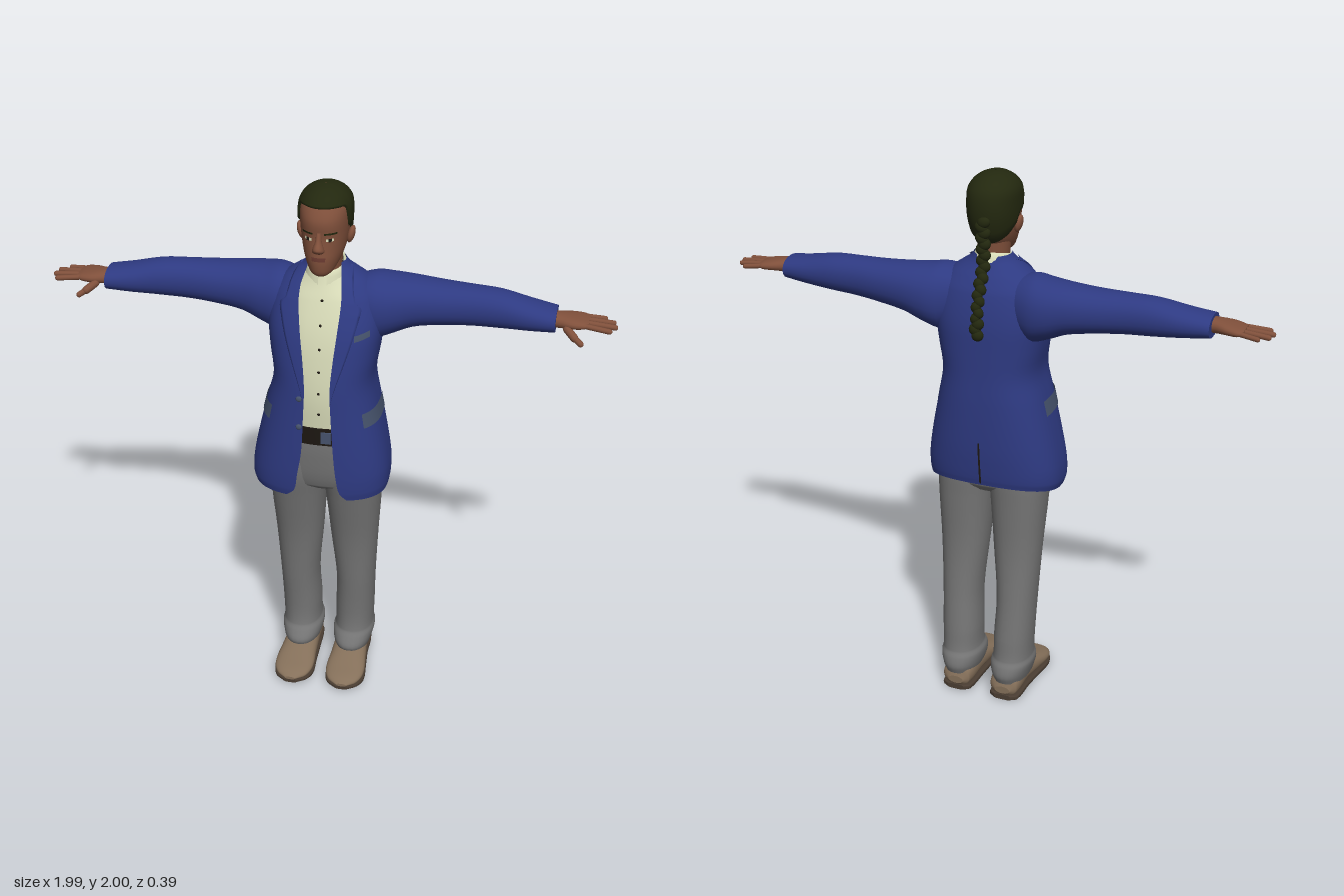
import * as THREE from 'three';

const mat = (name, color, side = THREE.FrontSide) => Object.assign(new THREE.MeshStandardMaterial({ color, side }), { name });

// Smooth interpolation of a table whose first column is the key
function at(T, k) {
  let i = 0;
  while (i < T.length - 2 && k > T[i + 1][0]) i++;
  const a = T[i], b = T[i + 1], p = T[i - 1] || a, q = T[i + 2] || b;
  const h = b[0] - a[0], t = (k - a[0]) / h, t2 = t * t, t3 = t2 * t;
  return a.map((v, c) => {
    const m0 = (b[c] - p[c]) / (b[0] - p[0]) * h, m1 = (q[c] - v) / (q[0] - a[0]) * h;
    return (2 * t3 - 3 * t2 + 1) * v + (t3 - 2 * t2 + t) * m0 + (3 * t2 - 2 * t3) * b[c] + (t3 - t2) * m1;
  });
}
function keys(T, sub) {
  const out = [];
  for (let i = 0; i < T.length - 1; i++)
    for (let j = 0; j < sub; j++) out.push(T[i][0] + (T[i + 1][0] - T[i][0]) * j / sub);
  return [...out, T[T.length - 1][0]];
}

// Point on a rounded section [key, u0, u1, v0, v1, power]; angle 0 is the +v side
function pt(r, a, g = 0) {
  const f = c => Math.sign(c) * Math.abs(c) ** (2 / r[5]);
  return [(r[1] + r[2]) / 2 + ((r[2] - r[1]) / 2 + g) * f(Math.sin(a)), (r[3] + r[4]) / 2 + ((r[4] - r[3]) / 2 + g) * f(Math.cos(a))];
}
// Angle at which the front of a section reaches x
function angleAt(r, x) {
  const d = (x - (r[1] + r[2]) / 2) / ((r[2] - r[1]) / 2);
  return Math.sign(d) * Math.asin(Math.min(1, Math.abs(d) ** (r[5] / 2)));
}

// Grid surface from rings of points, optionally wrapped and capped
function surface(rings, wrap = false, caps = false) {
  const n = rings[0].length, P = rings.flat(), idx = [];
  for (let i = 0; i < rings.length - 1; i++)
    for (let j = 0; j < (wrap ? n : n - 1); j++) {
      const a = i * n + j, b = i * n + (j + 1) % n;
      idx.push(a, b, a + n, b, b + n, a + n);
    }
  if (caps) [rings[0], rings[rings.length - 1]].forEach((ring, e) => {
    const s = P.length;
    P.push(...ring, [0, 1, 2].map(c => ring.reduce((t, p) => t + p[c], 0) / n));
    for (let j = 0; j < n; j++) {
      const k = (j + 1) % n;
      idx.push(...(e ? [s + j, s + k, s + n] : [s + k, s + j, s + n]));
    }
  });
  if (caps) {
    // turn the faces outward
    let vol = 0;
    const A = new THREE.Vector3(), B = new THREE.Vector3(), C = new THREE.Vector3();
    for (let i = 0; i < idx.length; i += 3)
      vol += A.fromArray(P[idx[i]]).dot(B.fromArray(P[idx[i + 1]]).cross(C.fromArray(P[idx[i + 2]])));
    if (vol < 0) idx.reverse();
  }
  const g = new THREE.BufferGeometry();
  g.setAttribute('position', new THREE.Float32BufferAttribute(P.flat(), 3));
  g.setIndex(idx);
  g.computeVertexNormals();
  return g;
}

const alongY = s => (k, u, v) => [s * u, k, v];
const alongX = s => (k, u, v) => [s * k, v, u];
const alongZ = s => (k, u, v) => [s * u, v, k];
const span = (n, f) => Array.from({ length: n + 1 }, (_, i) => f(i / n));

// Section tables: [key, u0, u1, v0, v1, power]
const HEAD = [
  [1.703, -.022, .022, .055, .1, 2], [1.715, -.038, .038, .01, .115, 2.1], [1.74, -.054, .054, -.05, .122, 2.1],
  [1.77, -.066, .066, -.085, .124, 2.1], [1.80, -.074, .074, -.102, .121, 2.1], [1.85, -.081, .081, -.115, .117, 2.2],
  [1.90, -.083, .083, -.117, .12, 2.2], [1.94, -.08, .08, -.108, .104, 2.1], [1.965, -.064, .064, -.085, .083, 2],
  [1.98, -.042, .042, -.055, .055, 2], [1.988, -.02, .02, -.028, .028, 2], [1.99, -.002, .002, -.003, .003, 2]];
// the jacket adds the right and left opening edges
const JACKET = [
  [.855, -.252, .232, -.165, .17, 2.6, -.11, .11], [.885, -.26, .237, -.17, .175, 2.6, -.08, .085],
  [.95, -.257, .237, -.175, .178, 2.6, -.068, .072], [1.05, -.238, .222, -.18, .177, 2.6, -.052, .062],
  [1.2, -.203, .192, -.18, .172, 2.6, -.045, .052], [1.3, -.18, .176, -.176, .168, 2.6, -.042, .048],
  [1.4, -.192, .19, -.174, .155, 2.6, -.05, .055], [1.5, -.2, .2, -.17, .135, 2.6, -.063, .065],
  [1.6, -.185, .185, -.15, .1, 2.4, -.075, .072], [1.65, -.152, .152, -.125, .076, 2.2, -.074, .068],
  [1.68, -.112, .112, -.105, .06, 2.1, -.066, .063], [1.70, -.082, .082, -.095, .05, 2, -.06, .06], [1.72, -.066, .066, -.087, .04, 2, -.056, .056]];
const SHIRT = [
  [1.1, -.15, .15, -.13, .134, 2.4], [1.25, -.15, .15, -.13, .145, 2.4], [1.4, -.16, .16, -.13, .134, 2.4],
  [1.5, -.16, .16, -.13, .116, 2.4], [1.6, -.14, .14, -.12, .085, 2.2], [1.65, -.1, .1, -.1, .065, 2], [1.685, -.065, .065, -.085, .053, 2]];
const NECK = [[1.62, -.052, .052, -.08, .04, 2], [1.7, -.053, .053, -.075, .046, 2], [1.77, -.058, .058, -.08, .06, 2]];
const NOSE = [[1.795, -.014, .014, .1, .126, 2], [1.805, -.021, .021, .1, .143, 2], [1.818, -.018, .018, .1, .15, 2], [1.84, -.011, .011, .1, .135, 2], [1.868, -.009, .009, .1, .122, 2]];
const PELVIS = [[.835, -.1, .1, -.1, .07, 2.2], [.87, -.19, .19, -.13, .108, 2.3], [1, -.185, .185, -.14, .128, 2.4], [1.09, -.165, .165, -.135, .13, 2.4]];
const BELT = [[1.06, -.166, .166, -.137, .137, 2.4], [1.13, -.163, .163, -.137, .142, 2.4]];
const LEG = [
  [.075, .035, .163, -.175, .05, 2.2], [.105, .026, .172, -.185, .062, 2.2], [.14, .022, .179, -.178, .045, 2.2],
  [.165, .03, .174, -.165, .03, 2.2], [.25, .031, .176, -.157, .027, 2.2], [.4, .035, .181, -.14, .04, 2.2],
  [.6, .016, .192, -.125, .06, 2.2], [.8, 0, .204, -.13, .098, 2.3], [.9, -.01, .205, -.135, .118, 2.3], [1, -.01, .19, -.13, .122, 2.3]];
const SLEEVE = [
  [.09, -.12, .05, 1.47, 1.65, 2.2], [.165, -.155, .06, 1.43, 1.667, 2.2], [.22, -.163, .05, 1.445, 1.662, 2.2],
  [.3, -.155, .03, 1.478, 1.655, 2.2], [.4, -.14, .02, 1.495, 1.648, 2.2], [.5, -.125, .015, 1.505, 1.645, 2.2],
  [.6, -.118, .02, 1.51, 1.64, 2.2], [.7, -.108, .03, 1.517, 1.62, 2.2], [.79, -.094, .036, 1.526, 1.605, 2.2]];
const HAND = [
  [.77, -.06, .01, 1.54, 1.594, 2.2], [.8, -.064, .014, 1.542, 1.592, 2.2], [.84, -.08, .024, 1.546, 1.587, 2.4],
  [.88, -.086, .019, 1.549, 1.58, 2.6], [.9, -.08, .01, 1.554, 1.574, 2.4]];
const SHOE = [
  [-.172, .065, .125, .03, .06, 2], [-.155, .042, .15, .014, .1, 2.3], [-.05, .034, .156, .014, .12, 2.3], [.04, .03, .166, .014, .095, 2.3],
  [.12, .026, .173, .016, .068, 2.3], [.17, .044, .155, .018, .052, 2.2], [.195, .08, .12, .024, .036, 2]];

export function createModel() {
  const model = new THREE.Group();
  const D = THREE.DoubleSide;
  const blue = mat('jacketBlue', 0x2e3a82, D), cream = mat('shirtCream', 0xd9dcb9, D), grey = mat('trouserGrey', 0x757575);
  const skin = mat('skinBrown', 0x80503b), hair = mat('hairDark', 0x23280f, D), tan = mat('shoeTan', 0x85705a);
  const sole = mat('soleBrown', 0x4a3d32), dark = mat('beltDark', 0x1e1812, D), slate = mat('pocketSlate', 0x46536c, D), lip = mat('lipBrown', 0x6a3a30, D);

  const add = (name, geo, m) => {
    const mesh = new THREE.Mesh(geo, m);
    mesh.name = name;
    model.add(mesh);
    return mesh;
  };
  const solid = (name, m, T, map, sub = 4, seg = 28) => add(name, surface(keys(T, sub).map(k => {
    const r = at(T, k);
    return Array.from({ length: seg }, (_, j) => map(k, ...pt(r, j / seg * Math.PI * 2)));
  }), true, true), m);
  // thin plate lying on a body surface
  const patch = (name, m, T, y0, y1, a0, a1, g = .003, slope = 0) => add(name, surface(span(3, i => span(10, j => {
    const y = y0 + (y1 - y0) * i + slope * j, [x, z] = pt(at(T, y), a0 + (a1 - a0) * j, g);
    return [x, y, z];
  }))), m);
  const ball = (name, m, p, s) => {
    const b = add(name, new THREE.SphereGeometry(1, 14, 10), m);
    b.position.set(...p);
    b.scale.set(...s);
    return b;
  };
  const finger = (name, a, b, r) => {
    const A = new THREE.Vector3(...a), d = new THREE.Vector3(...b).sub(A), len = d.length();
    const f = add(name, new THREE.CapsuleGeometry(r, len - r, 4, 10), skin);
    f.position.copy(A).addScaledVector(d, .5);
    f.quaternion.setFromUnitVectors(new THREE.Vector3(0, 1, 0), d.normalize());
  };

  // Head and face
  solid('head', skin, HEAD, alongY(1), 4, 36);
  solid('neck', skin, NECK, alongY(1));
  solid('nose', skin, NOSE, alongY(1), 3, 16);
  patch('mouth', lip, HEAD, 1.768, 1.782, -.32, .32);
  for (const s of [-1, 1]) {
    ball('ear', skin, [s * .086, 1.822, -.003], [.013, .032, .021]).rotation.z = -s * .25;
    patch('eyeWhite', cream, HEAD, 1.838, 1.848, s * .27, s * .6, .002);
    patch('iris', dark, HEAD, 1.837, 1.849, s * .37, s * .5, .0035);
    patch('eyebrow', hair, HEAD, 1.862, 1.869, s * .2, s * .72);
  }

  // Hair cap with a shaped hairline
  const HAIRLINE = [[0, 1.945], [.9, 1.942], [1.2, 1.93], [1.4, 1.862], [1.6, 1.85], [1.78, 1.81], [2.4, 1.77], [Math.PI, 1.75]];
  add('hair', surface(span(18, t => Array.from({ length: 64 }, (_, j) => {
    const a = j / 64 * Math.PI * 2, low = at(HAIRLINE, Math.min(a, Math.PI * 2 - a))[1];
    const y = low + (1.99 - low) * (1 - (1 - t) ** 2);
    const [x, z] = pt(at(HEAD, y), a, t === 0 ? -.003 : t === 1 ? 0 : .009);
    return [x, y + .01 * t, z];
  })), true), hair);

  // Braid down the back
  const braid = new THREE.CatmullRomCurve3([[1.85, -.118], [1.77, -.112], [1.69, -.114], [1.62, -.147], [1.55, -.168], [1.465, -.177]].map(p => new THREE.Vector3(0, ...p)));
  for (let i = 0; i <= 20; i++) {
    const p = braid.getPointAt(i / 20), w = .025 - .009 * i / 20 + (i > 17 ? .006 : 0);
    ball('braidKnot', hair, [(i % 2 ? .005 : -.005), p.y, p.z], [w, .021, Math.min(w, .017)]).rotation.z = i % 2 ? .5 : -.5;
  }

  // Shirt with collar and buttons
  solid('shirt', cream, SHIRT, alongY(1));
  add('shirtCollar', surface([[.058, .035], [.063, .04], [.07, .02], [.079, -.012]].map(([r, h]) => span(36, t => {
    const a = .2 + t * (Math.PI * 2 - .4), c = (1 + Math.cos(a)) / 2;
    return [r * Math.sin(a), 1.695 + h - .035 * c - (h < 0 ? .025 * c * c : 0), -.016 + r * 1.08 * Math.cos(a)];
  })), false), cream);
  for (let i = 0; i < 6; i++) {
    const y = 1.19 + i * .083;
    ball('shirtButton', dark, [.004, y, pt(at(SHIRT, y), 0)[1]], [.005, .005, .003]);
  }

  // Open jacket shell
  add('jacketBody', surface(keys(JACKET, 4).map(k => {
    const r = at(JACKET, k), a0 = angleAt(r, r[7]), a1 = Math.PI * 2 + angleAt(r, r[6]);
    return span(60, t => {
      const a = a0 + (a1 - a0) * t, [x, z] = pt(r, a);
      return [x, k + .035 * Math.max(0, -Math.cos(a)) * THREE.MathUtils.clamp((1 - k) / .14, 0, 1), z];
    });
  })), blue);

  // Lapels folded back from the opening
  const LAPEL = [[1.25, 0], [1.42, .04], [1.56, .062], [1.59, .062], [1.61, .042], [1.7, .03]];
  for (const s of [-1, 1]) {
    add('lapel', surface(keys(LAPEL, 4).map(k => {
      const r = at(JACKET, k), w = at(LAPEL, k)[1], e = s > 0 ? r[7] : r[6];
      return span(7, q => {
        const [x, z] = pt(r, angleAt(r, e + s * w * Math.min(q * 1.2, 1)), q > .99 ? .001 : .008);
        return [x, k, z];
      });
    })), blue);
    patch('hipPocketFlap', slate, JACKET, 1.145, 1.2, s * .84, s * 1.76, .004);
  }
  patch('chestPocket', slate, JACKET, 1.478, 1.5, .55, .93, .004, .012);
  patch('backVent', dark, JACKET, .9, 1.06, Math.PI - .004, Math.PI + .004, .002);
  for (const y of [1.15, 1.26]) {
    const r = at(JACKET, y);
    ball('jacketButton', slate, [-.06, y, pt(r, angleAt(r, -.06))[1] + .002], [.011, .011, .005]);
  }

  // Trousers and belt
  solid('trouserSeat', grey, PELVIS, alongY(1));
  solid('belt', dark, BELT, alongY(1), 2, 40);
  const buckle = add('buckle', new THREE.BoxGeometry(.036, .045, .008), slate);
  buckle.position.set(.03, 1.095, .14);

  for (const s of [-1, 1]) {
    solid('sleeve', blue, SLEEVE, alongX(s));
    solid('trouserLeg', grey, LEG, alongY(s));

    // Hand with four fingers and a thumb
    solid('palm', skin, HAND, alongX(s), 3, 20);
    [[-.073, -.083, .955, .0085], [-.048, -.053, .985, .0095], [-.022, -.02, .992, .0098], [.003, .014, .975, .0095]].forEach(([z0, z1, x, r]) =>
      finger('finger', [s * .88, 1.565, z0], [s * (x), 1.557, z1], r));
    finger('thumb', [s * .825, 1.556, .012], [s * .862, 1.53, .042], .014);
    finger('thumbTip', [s * .855, 1.535, .037], [s * .884, 1.517, .053], .0105);

    // Shoe, sole and tread
    solid('shoe', tan, SHOE, alongZ(s));
    solid('sole', sole, SHOE.map(r => [r[0], r[1] - .002, r[2] + .002, .004 + (r[0] > .15 ? .006 : 0), .024, 5]), alongZ(s), 4, 28);
    for (let i = 0; i < 9; i++) {
      const z = -.14 + i * .034, r = at(SHOE, z);
      add('tread', new THREE.BoxGeometry((r[2] - r[1]) * .82, .006, .014), dark).position.set(s * (r[1] + r[2]) / 2, .003, z);
    }
  }
  return model;
}
